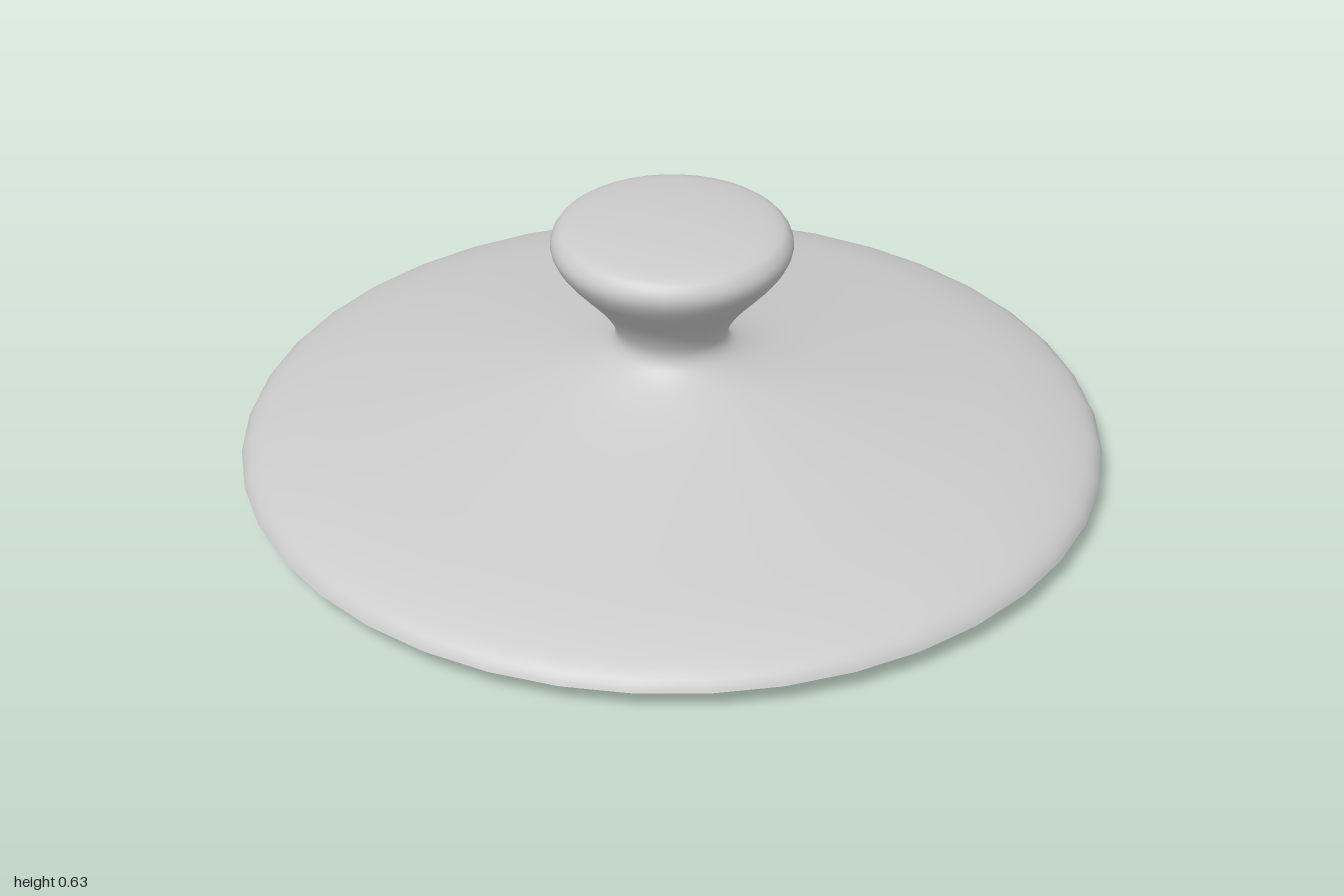
import * as THREE from 'three';

const SEGMENTS = 40;
const material = new THREE.MeshStandardMaterial({ color: 0xcccccc });
const toPoints = (pairs) => pairs.map(([r, y]) => new THREE.Vector2(r, y));

// One smooth surface of revolution; separate surfaces meet at sharp edges
function turned(name, points) {
  const mesh = new THREE.Mesh(new THREE.LatheGeometry(points, SEGMENTS), material);
  mesh.name = name;
  return mesh;
}

export function createModel() {
  const lid = new THREE.Group();
  lid.name = 'lid';

  // Shallow dome of the underside, curving down into the locating lip
  lid.add(turned('underside', toPoints([
    [0, 0.15], [0.25, 0.145], [0.5, 0.125], [0.7, 0.1], [0.79, 0.08],
    [0.84, 0.055], [0.87, 0.025], [0.88, 0],
  ])));

  // Narrow foot of the lip
  lid.add(turned('lipEdge', toPoints([[0.88, 0], [0.888, 0.004]])));

  // Outer wall of the lip, flaring into the rim
  lid.add(turned('lipWall', toPoints([
    [0.888, 0.004], [0.893, 0.025], [0.903, 0.045], [0.92, 0.057],
  ])));

  // Flat overhang under the rim
  lid.add(turned('rimUnderside', toPoints([[0.92, 0.057], [1, 0.057]])));

  // Rim, sloping cover, neck and knob in one flowing profile
  const outline = new THREE.SplineCurve(toPoints([
    [1, 0.057], [0.985, 0.08], [0.94, 0.105], [0.82, 0.14], [0.6, 0.181],
    [0.4, 0.219], [0.28, 0.246], [0.2, 0.272], [0.15, 0.3], [0.13, 0.33],
    [0.135, 0.365], [0.165, 0.415], [0.215, 0.473], [0.255, 0.52],
    [0.275, 0.56], [0.267, 0.592], [0.235, 0.612], [0.13, 0.625], [0, 0.63],
  ]));
  const profile = outline.getPoints(54);
  profile[profile.length - 1].x = 0;
  lid.add(turned('coverAndKnob', profile));

  return lid;
}
